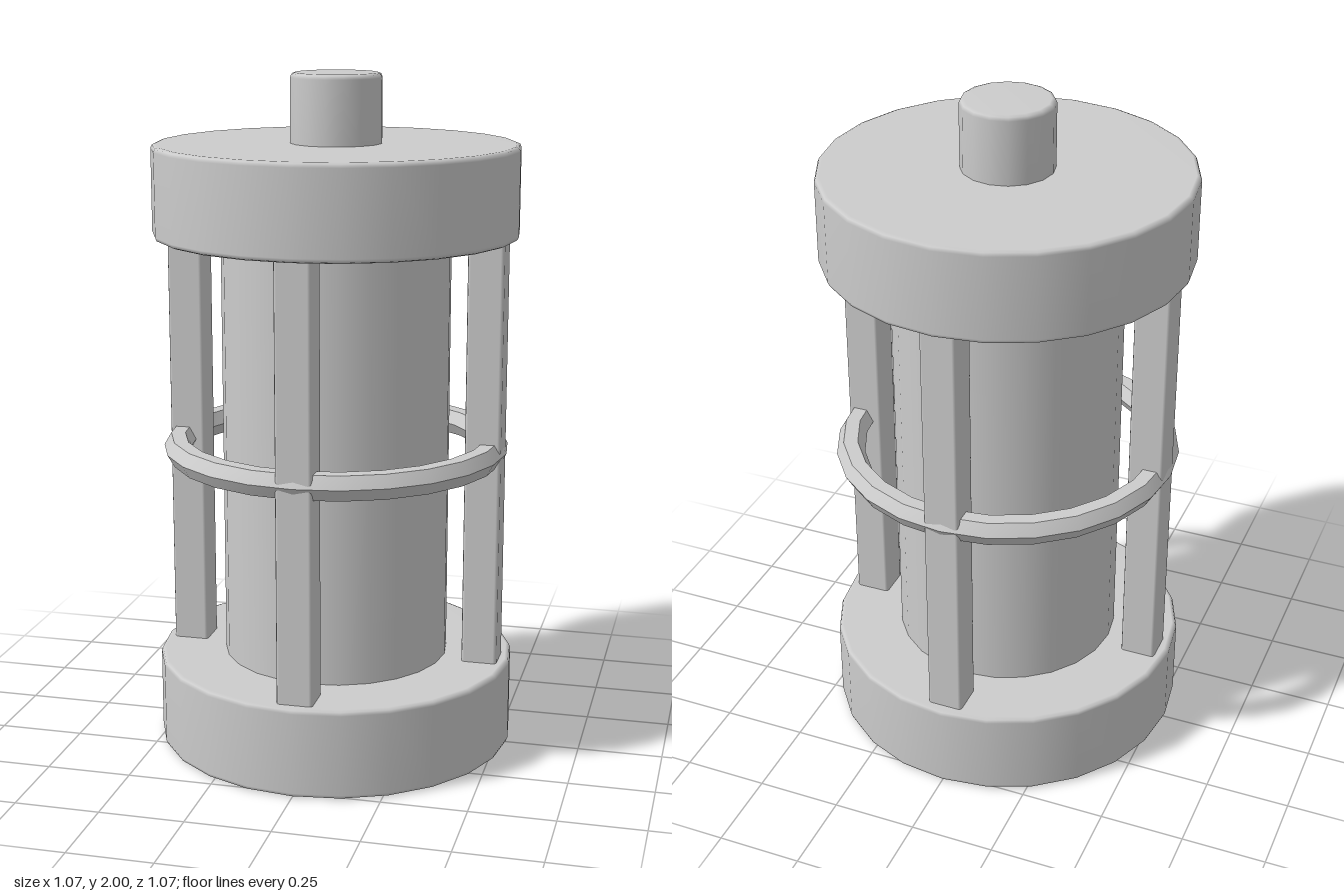
import * as THREE from 'three';
import { toCreasedNormals } from 'three/addons/utils/BufferGeometryUtils.js';
import { RoundedBoxGeometry } from 'three/addons/geometries/RoundedBoxGeometry.js';

// Solid disc from y0 to y1 with softly rounded rims
function roundedDisc(radius, y0, y1, bevel, sides) {
  const points = [new THREE.Vector2(0, y0)];
  for (const [cy, start] of [[y0 + bevel, -Math.PI / 2], [y1 - bevel, 0]]) {
    for (let i = 0; i <= 2; i++) {
      const a = start + (i * Math.PI) / 4;
      points.push(new THREE.Vector2(radius - bevel + bevel * Math.cos(a), cy + bevel * Math.sin(a)));
    }
  }
  points.push(new THREE.Vector2(0, y1));
  return new THREE.LatheGeometry(points, sides);
}

export function createModel() {
  const model = new THREE.Group();
  model.name = 'cagedCylinder';
  const grey = new THREE.MeshStandardMaterial({ color: 0xcccccc });
  grey.name = 'plain grey';

  const add = (name, geometry) => {
    const mesh = new THREE.Mesh(geometry, grey);
    mesh.name = name;
    model.add(mesh);
    return mesh;
  };

  // End caps and the knob on top
  add('bottomCap', roundedDisc(0.535, 0, 0.268, 0.014, 24));
  add('topCap', roundedDisc(0.535, 1.532, 1.8, 0.014, 24));
  add('topKnob', roundedDisc(0.134, 1.78, 2, 0.014, 16));

  // Inner cylinder, ends sunk into the caps
  add('core', new THREE.CylinderGeometry(0.337, 0.337, 1.34, 24)).position.y = 0.9;

  // Four upright posts around the core
  for (let i = 0; i < 4; i++) {
    const angle = (i * Math.PI) / 2;
    const post = add('post' + (i + 1), new RoundedBoxGeometry(0.106, 1.34, 0.106, 1, 0.01));
    post.position.set(0.45 * Math.sin(angle), 0.9, 0.45 * Math.cos(angle));
    post.rotation.y = angle;
  }

  // Hexagonal-section ring binding the posts
  const ring = new THREE.TorusGeometry(0.471, 0.042, 6, 24);
  ring.rotateX(Math.PI / 2);
  add('ring', toCreasedNormals(ring, 0.6)).position.y = 0.905;

  return model;
}
